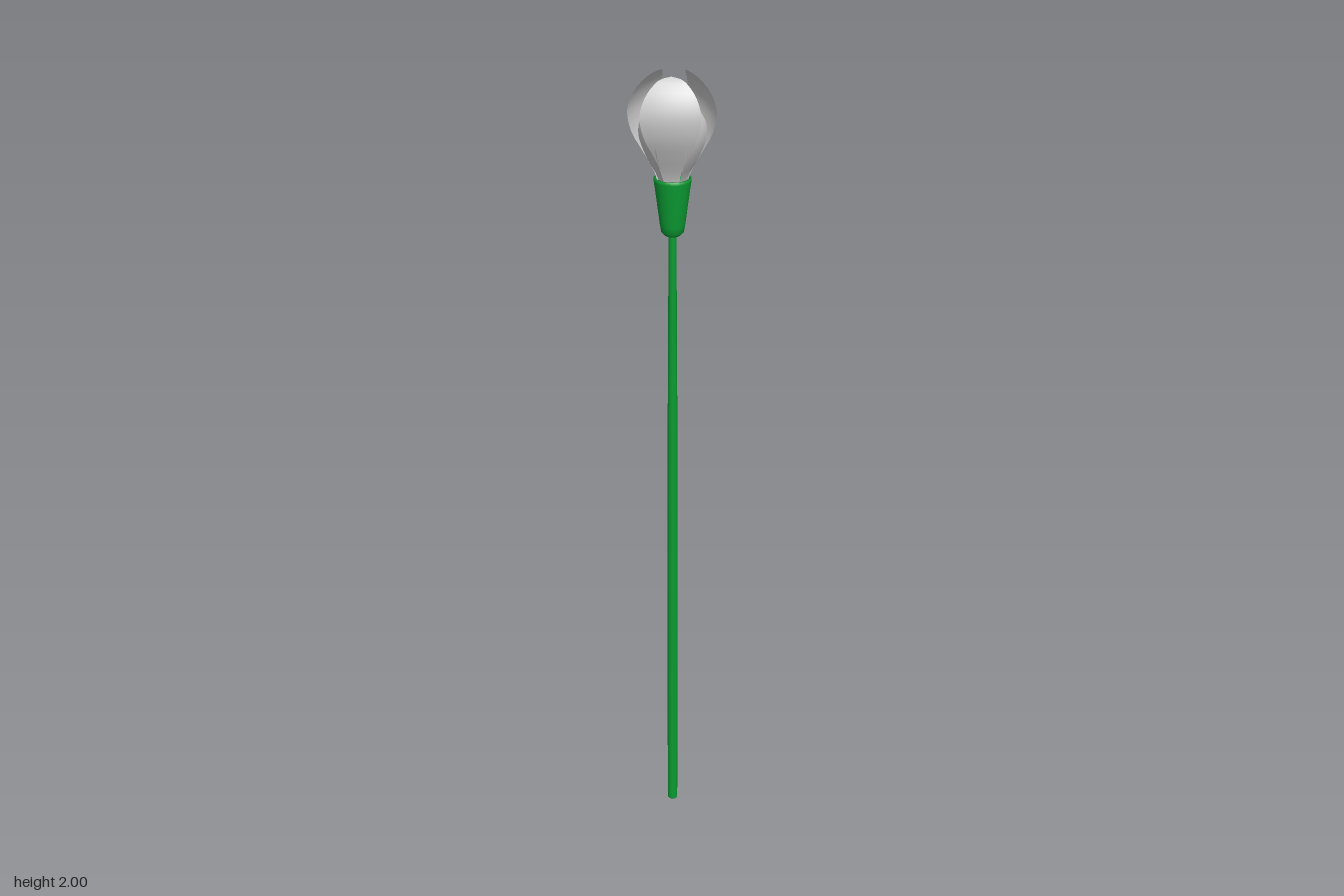
import * as THREE from 'three';

const AXIS_Z = 0.005;
const green = new THREE.MeshStandardMaterial({ color: 0x0b9c33 });
const petalGrey = new THREE.MeshStandardMaterial({ color: 0xcccccc, side: THREE.DoubleSide });

// Revolve a [radius, y] profile, listed from bottom to top
function lathe(name, profile, sides) {
  const points = profile.map(([r, y]) => new THREE.Vector2(r, y));
  const mesh = new THREE.Mesh(new THREE.LatheGeometry(points, sides), green);
  mesh.name = name;
  return mesh;
}

// Thin petal facing +z: stations are [halfWidth, y, distance from axis]
function petalGeometry(stations, curl) {
  const curve = new THREE.CatmullRomCurve3(stations.map((s) => new THREE.Vector3(...s)));
  const geometry = new THREE.PlaneGeometry(2, 1, 10, 24);
  const pos = geometry.attributes.position;
  const p = new THREE.Vector3();
  for (let i = 0; i < pos.count; i++) {
    const s = pos.getX(i);
    curve.getPoint(THREE.MathUtils.clamp(pos.getY(i) + 0.5, 0, 1), p);
    const x = s * Math.max(p.x, 0);
    pos.setXYZ(i, x, p.y, p.z - curl * x * x);
  }
  geometry.computeVertexNormals();
  return geometry;
}

// Three petals spaced evenly round the axis
function whorl(name, geometry, startAngle) {
  const group = new THREE.Group();
  group.name = name + 's';
  for (let i = 0; i < 3; i++) {
    const petal = new THREE.Mesh(geometry, petalGrey);
    petal.name = name;
    petal.rotation.y = startAngle + (i * Math.PI * 2) / 3;
    group.add(petal);
  }
  return group;
}

export function createModel() {
  const model = new THREE.Group();
  const flower = new THREE.Group();
  flower.name = 'flower';
  flower.position.z = AXIS_Z;
  model.add(flower);

  // Slender tapering stem with a closed foot
  flower.add(lathe('stem', [
    [0, 0], [0.013, 0], [0.013, 0.002], [0.013, 0.6], [0.0115, 1.2], [0.009, 1.64],
  ], 12));

  // Cup that holds the petals, rounded below and shallowly hollow on top
  flower.add(lathe('calyx', [
    [0, 1.628], [0.018, 1.63], [0.026, 1.638], [0.029, 1.655], [0.036, 1.71],
    [0.0425, 1.758], [0.0425, 1.765], [0.038, 1.765], [0.034, 1.745], [0, 1.738],
  ], 24));

  // Large outer petals, bulging and closing in at the tip
  const outer = petalGeometry([
    [0.016, 1.735, 0.027], [0.019, 1.775, 0.036], [0.036, 1.825, 0.058],
    [0.058, 1.873, 0.077], [0.067, 1.92, 0.083], [0.056, 1.96, 0.071],
    [0.034, 1.988, 0.051], [0.02, 1.996, 0.042], [0, 2.0, 0.036],
  ], 1.9);
  flower.add(whorl('outerPetal', outer, 0));

  // Smaller inner petals in the gaps between the outer ones
  const inner = petalGeometry([
    [0.013, 1.735, 0.022], [0.016, 1.77, 0.032], [0.03, 1.81, 0.052],
    [0.042, 1.85, 0.066], [0.042, 1.883, 0.067], [0.033, 1.91, 0.058],
    [0.019, 1.928, 0.046], [0, 1.936, 0.037],
  ], 2.5);
  flower.add(whorl('innerPetal', inner, Math.PI / 3));

  return model;
}
